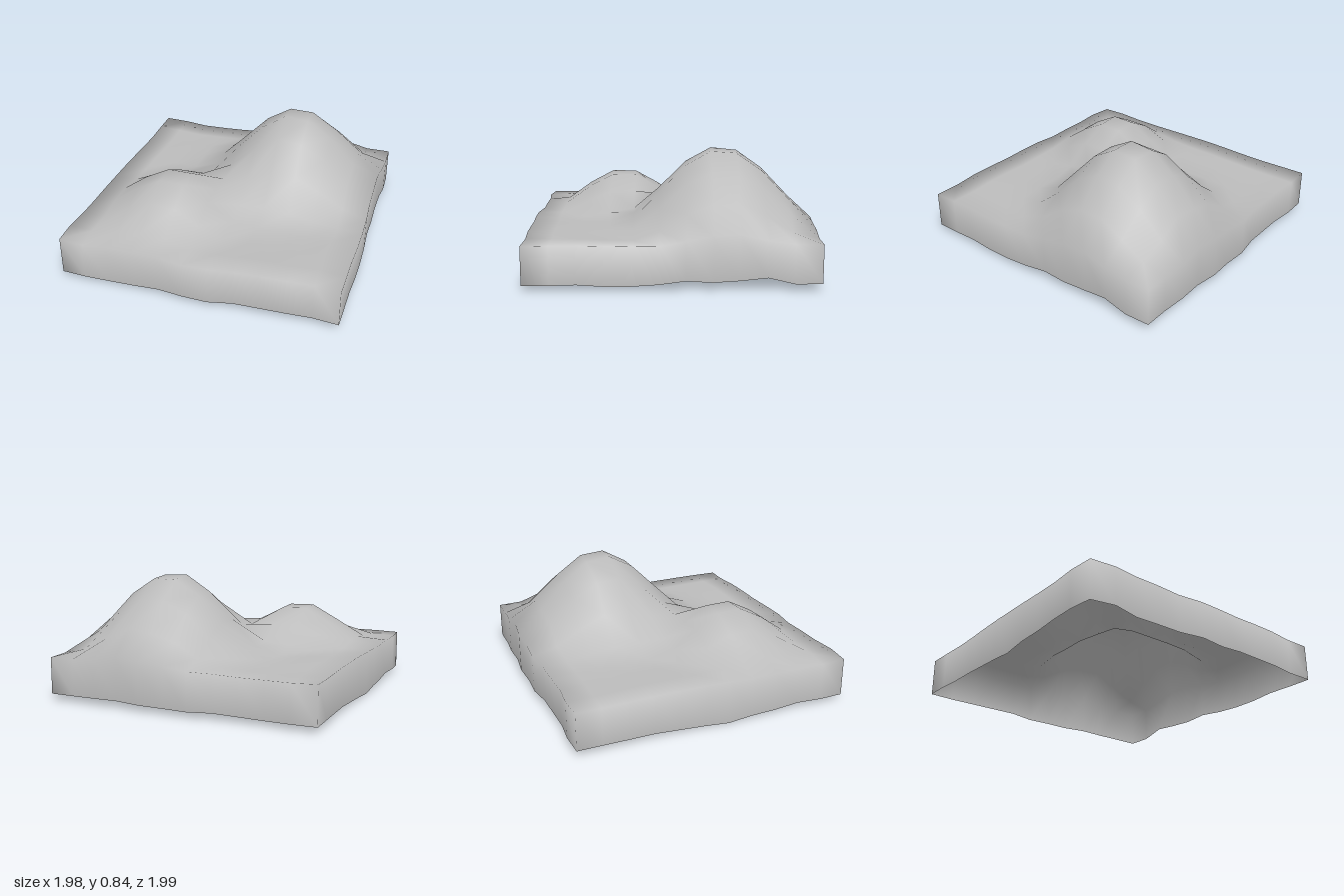
import * as THREE from 'three';

const N = 11; // cells per side

// Slightly wavy outline of the tile, listed along each side
const frontZ = [.97, .99, .97, .97, .965, .99, .985, .97, .965, .96, .945, .955];
const backZ = [-.98, -.985, -.965, -.97, -.975, -1, -.99, -1, -.98, -.985, -.97, -.97];
const rightX = [.97, .975, .97, .965, .97, .97, .98, .985, .985, .98, .98, .98];
const leftX = [-.965, -.965, -.96, -.96, -.965, -.97, -.975, -.98, -.98, -.98, -.99, -.98];

// Height of the lower rim along each side
const frontLow = [.03, .04, .025, .03, .035, .04, .03, .05, .05, .05, .045, .04];
const backLow = [.04, .04, .035, .04, .045, .04, .04, .045, .05, .05, .045, .045];
const rightLow = [.045, .045, .085, .065, .055, .065, .045, .035, .035, .045, .04, .04];
const leftLow = [.04, .04, .035, .035, .025, .015, 0, .02, .025, .04, .035, .03];

// Rounded hill that fades to nothing at its radius
function hill(x, z, cx, cz, radius, height) {
  const d = Math.hypot(x - cx, z - cz) / radius;
  return d < 1 ? height * (1 - d * d) ** 2 : 0;
}

function groundHeight(x, z) {
  const ripple = 0.008 * Math.sin(5 * x + 2 * z) * Math.cos(4 * z - x);
  return 0.302 + ripple
    + hill(x, z, 0.35, -0.35, 0.75, 0.555)
    + hill(x, z, -0.36, 0.35, 0.57, 0.285);
}

function terrainGeometry() {
  const positions = [], index = [];
  const id = (i, j) => j * (N + 1) + i;

  // Upper surface
  for (let j = 0; j <= N; j++) {
    for (let i = 0; i <= N; i++) {
      const x = THREE.MathUtils.lerp(leftX[j], rightX[j], i / N);
      const z = THREE.MathUtils.lerp(backZ[i], frontZ[i], j / N);
      positions.push(x, groundHeight(x, z), z);
    }
  }
  for (let j = 0; j < N; j++) {
    for (let i = 0; i < N; i++) {
      const a = id(i, j), b = id(i + 1, j), c = id(i, j + 1), d = id(i + 1, j + 1);
      index.push(a, c, b, c, d, b);
    }
  }

  // Rim walked once around: front, right, back, left
  const rim = [];
  for (let k = 0; k < N; k++) rim.push([id(k, N), frontLow[k]]);
  for (let k = N; k > 0; k--) rim.push([id(N, k), rightLow[k]]);
  for (let k = N; k > 0; k--) rim.push([id(k, 0), backLow[k]]);
  for (let k = 0; k < N; k++) rim.push([id(0, k), leftLow[k]]);

  // Side walls share the rim vertices so the edge shades softly
  const base = positions.length / 3;
  for (const [v, y] of rim) positions.push(positions[v * 3], y, positions[v * 3 + 2]);
  rim.forEach(([v], k) => {
    const n = (k + 1) % rim.length;
    index.push(v, base + k, base + n, v, base + n, rim[n][0]);
  });

  const geometry = new THREE.BufferGeometry();
  geometry.setAttribute('position', new THREE.Float32BufferAttribute(positions, 3));
  geometry.setIndex(index);
  geometry.computeVertexNormals();
  return geometry;
}

export function createModel() {
  const stone = new THREE.MeshStandardMaterial({ color: 0xbcbcbc, side: THREE.DoubleSide });
  stone.name = 'grey stone';

  const terrain = new THREE.Mesh(terrainGeometry(), stone);
  terrain.name = 'hillyTerrain';

  const model = new THREE.Group();
  model.name = 'terrainTile';
  model.add(terrain);
  return model;
}
